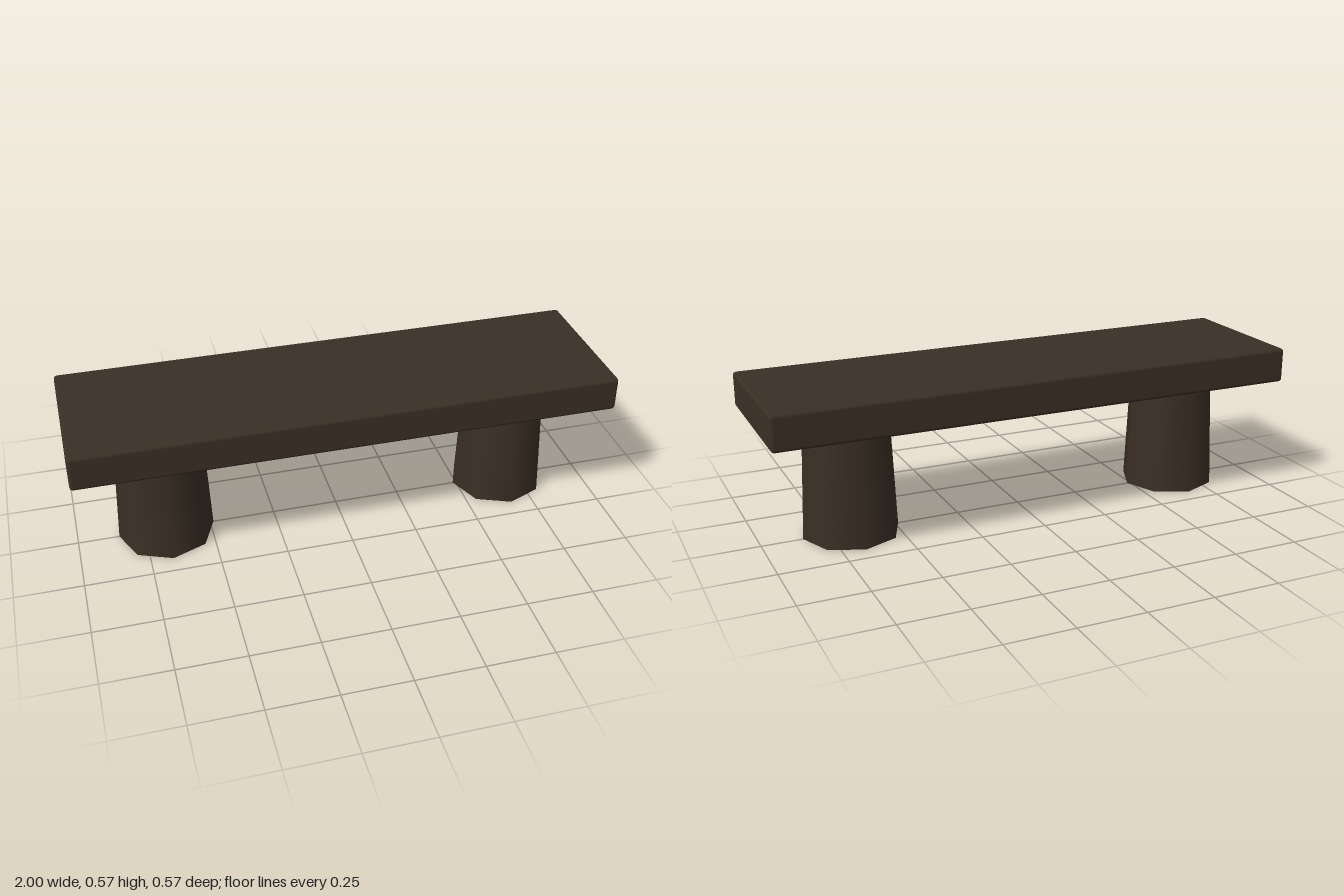
import * as THREE from 'three';
import { RoundedBoxGeometry } from 'three/addons/geometries/RoundedBoxGeometry.js';

export function createModel() {
  const model = new THREE.Group();
  model.name = 'bench';
  const darkWood = new THREE.MeshStandardMaterial({ color: 0x3a2f25 });
  darkWood.name = 'darkWood';

  // Seat plank with softly rounded edges
  const seatBottom = 0.441, seatTop = 0.573;
  const seat = new THREE.Mesh(
    new RoundedBoxGeometry(2, seatTop - seatBottom, 0.566, 2, 0.013), darkWood);
  seat.name = 'seat';
  seat.position.y = (seatBottom + seatTop) / 2;
  model.add(seat);

  // Two tapered eight-sided legs
  const legGeometry = new THREE.CylinderGeometry(0.161, 0.18, seatBottom, 8);
  for (const [name, side] of [['leftLeg', 1], ['rightLeg', -1]]) {
    const leg = new THREE.Mesh(legGeometry, darkWood);
    leg.name = name;
    leg.position.set(side * 0.667, seatBottom / 2, 0);
    model.add(leg);
  }
  return model;
}
